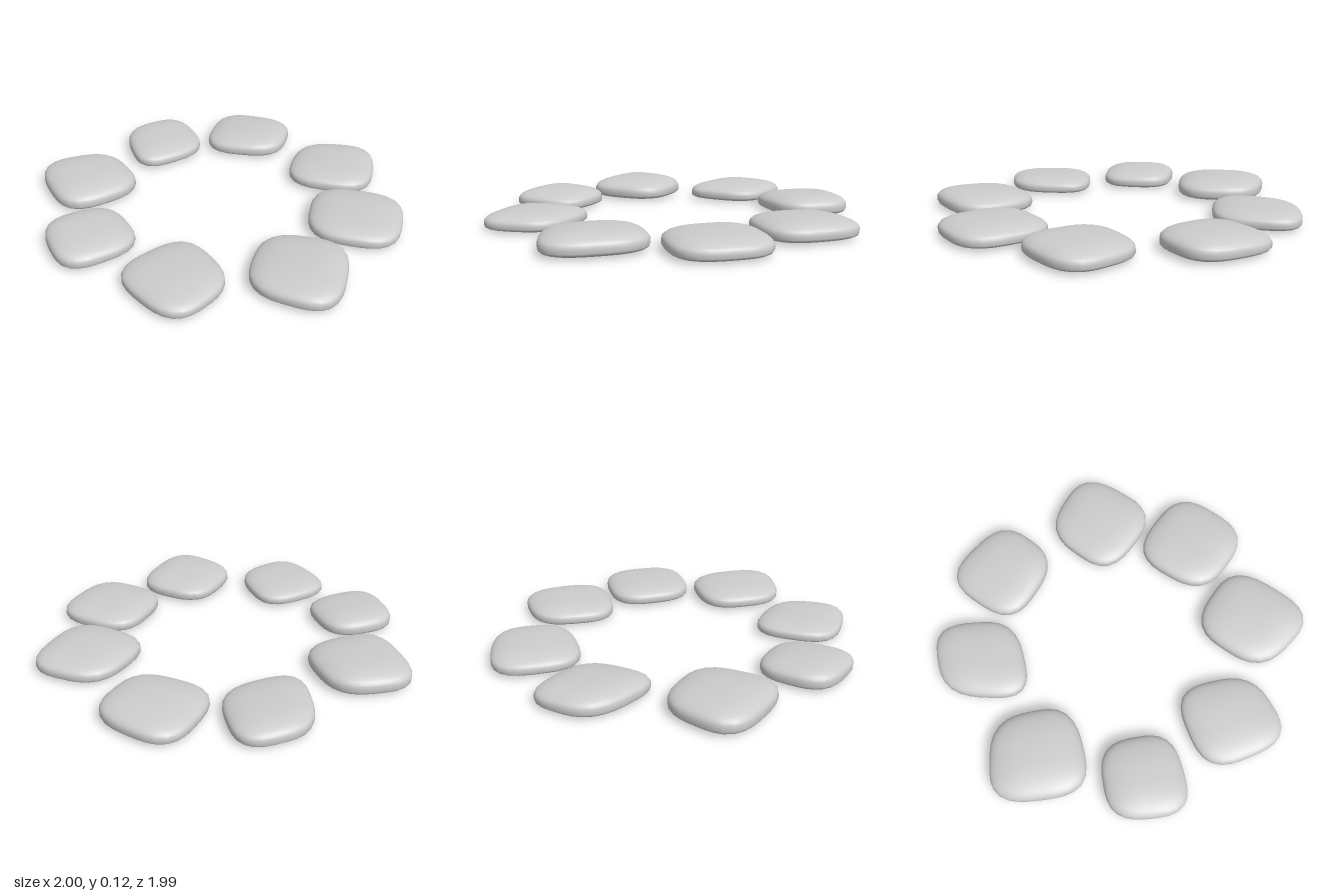
import * as THREE from 'three';
import { mergeVertices } from 'three/addons/utils/BufferGeometryUtils.js';

// Corners as x, z pairs running clockwise from above; lean raises the +x side
const STONES = [
  { name: 'backStone', height: 0.107, lean: 0.08, corners: [-0.18, -0.965, 0.2, -0.935, 0.19, -0.605, -0.18, -0.585] },
  { name: 'backLeftStone', height: 0.103, lean: 0.05, corners: [0.385, -0.69, 0.74, -0.725, 0.76, -0.325, 0.375, -0.32] },
  { name: 'leftStone', height: 0.102, lean: 0, corners: [0.56, -0.2, 0.95, -0.2, 0.95, 0.185, 0.575, 0.18] },
  { name: 'frontLeftStone', height: 0.106, lean: 0.08, corners: [0.375, 0.315, 0.735, 0.315, 0.74, 0.74, 0.375, 0.69] },
  { name: 'frontStone', height: 0.093, lean: 0, corners: [-0.03, 0.455, 0.245, 0.69, 0.09, 0.985, -0.235, 0.77] },
  { name: 'frontRightStone', height: 0.105, lean: -0.12, corners: [-0.5, 0.29, -0.27, 0.515, -0.5, 0.775, -0.73, 0.52] },
  { name: 'rightStone', height: 0.118, lean: -0.05, corners: [-0.72, -0.24, -0.46, 0.005, -0.715, 0.29, -1, -0.015] },
  { name: 'backRightStone', height: 0.102, lean: -0.08, corners: [-0.48, -0.82, -0.25, -0.54, -0.49, -0.265, -0.7, -0.58] },
];

const ROUNDNESS = 3; // superellipse power of the outline
const WAIST = 0.4; // height fraction of the widest level

// Sphere squared off into a flat-bottomed pebble and fitted between four corners
function stoneGeometry({ corners, height, lean }) {
  const geometry = new THREE.SphereGeometry(1, 32, 24);
  geometry.deleteAttribute('uv');
  geometry.deleteAttribute('normal');
  const [ax, az, bx, bz, cx, cz, dx, dz] = corners;
  const position = geometry.attributes.position;

  for (let i = 0; i < position.count; i++) {
    const x = position.getX(i), y = position.getY(i), z = position.getZ(i);

    // Section: softly domed above the waist, flatter below
    const power = y > 0 ? 0.8 : 0.5;
    const swell = Math.hypot(x, z) ** power;
    const rise = Math.abs(y) ** power;
    const level = y > 0 ? WAIST + (1 - WAIST) * rise : WAIST * (1 - rise);

    // Outline: rounded square whose corners land on u, v = +-1
    const norm = ((Math.abs(x) ** ROUNDNESS + Math.abs(z) ** ROUNDNESS) / 2) ** (1 / ROUNDNESS);
    const u = norm ? x / norm * swell : 0;
    const v = norm ? z / norm * swell : 0;

    // Bilinear blend of the four corners
    const blend = (a, b, c, d) =>
      ((1 - v) * ((1 - u) * a + (1 + u) * b) + (1 + v) * ((1 - u) * d + (1 + u) * c)) / 4;
    const px = blend(ax, bx, cx, dx);
    const slope = 1 + lean * (px - (ax + bx + cx + dx) / 4) / 0.25;
    position.setXYZ(i, px, height * level * slope, blend(az, bz, cz, dz));
  }

  // Weld the seam so the shading stays smooth
  const welded = mergeVertices(geometry);
  welded.computeVertexNormals();
  return welded;
}

export function createModel() {
  const group = new THREE.Group();
  group.name = 'stoneRing';
  const material = new THREE.MeshStandardMaterial({ color: 0xcccccc });
  for (const stone of STONES) {
    const mesh = new THREE.Mesh(stoneGeometry(stone), material);
    mesh.name = stone.name;
    group.add(mesh);
  }
  return group;
}
